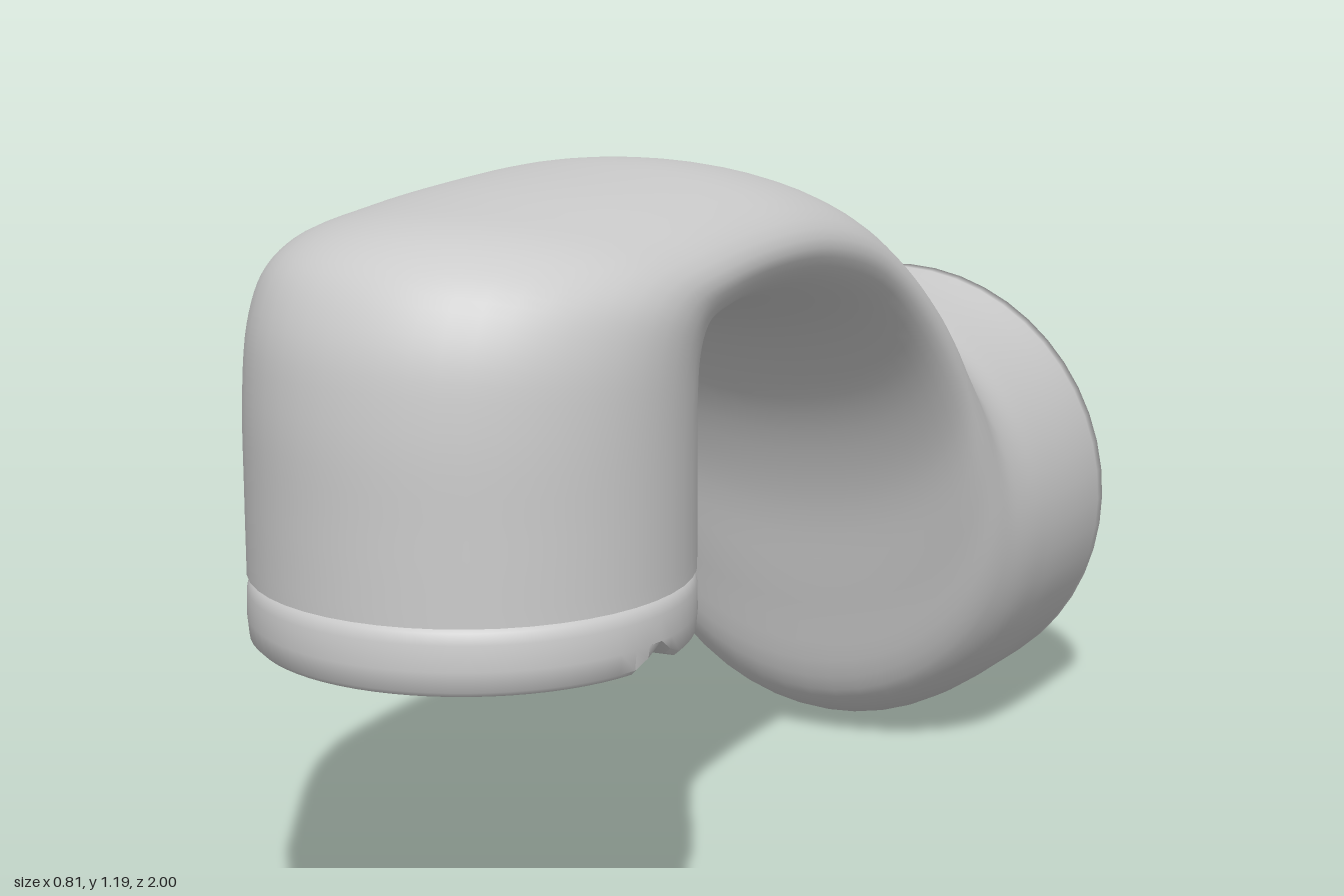
import * as THREE from 'three';
import { toCreasedNormals } from 'three/addons/utils/BufferGeometryUtils.js';

// Elliptical sections: [top z, top y, bottom z, bottom y, half width]
const SECTIONS = [
  [-0.98, 0.82, -0.98, 0.0, 0.405],
  [-0.86, 0.815, -0.86, 0.005, 0.407],
  [-0.72, 0.82, -0.72, 0.01, 0.405],
  [-0.62, 0.828, -0.62, 0.03, 0.4],
  [-0.55, 0.86, -0.55, 0.09, 0.39],
  [-0.45, 0.935, -0.5, 0.27, 0.377],
  [-0.34, 1.01, -0.445, 0.5, 0.362],
  [-0.2, 1.09, -0.35, 0.69, 0.345],
  [-0.05, 1.15, -0.19, 0.845, 0.335],
  [0.12, 1.182, 0.03, 0.93, 0.33],
  [0.32, 1.19, 0.22, 0.955, 0.33],
  [0.6, 1.187, 0.28, 0.952, 0.335],
  [0.82, 1.17, 0.3, 0.943, 0.34],
  [0.92, 1.125, 0.308, 0.93, 0.344],
  [0.975, 1.04, 0.31, 0.908, 0.345],
  [0.997, 0.92, 0.31, 0.86, 0.345],
  [1.0, 0.76, 0.31, 0.75, 0.345],
  [1.0, 0.63, 0.31, 0.63, 0.345],
];

// Curved body lofted through the sections, closed at the back
function bodyGeometry(rings = 85, sides = 48) {
  const top = new THREE.CatmullRomCurve3(SECTIONS.map(s => new THREE.Vector3(s[4], s[1], s[0])));
  const low = new THREE.CatmullRomCurve3(SECTIONS.map(s => new THREE.Vector3(0, s[3], s[2])));
  const pos = [], index = [];
  for (let i = 0; i <= rings; i++) {
    const t = top.getPoint(i / rings), b = low.getPoint(i / rings);
    for (let j = 0; j < sides; j++) {
      const a = (j / sides) * Math.PI * 2, k = (1 + Math.sin(a)) / 2;
      pos.push(Math.cos(a) * t.x, b.y + (t.y - b.y) * k, b.z + (t.z - b.z) * k);
    }
  }
  for (let i = 0; i < rings; i++) {
    for (let j = 0; j < sides; j++) {
      const n = (j + 1) % sides;
      const a = i * sides + j, b = i * sides + n, c = a + sides, d = b + sides;
      index.push(a, b, c, b, d, c);
    }
  }
  const centre = pos.length / 3;
  pos.push(0, 0.41, -0.98);
  for (let j = 0; j < sides; j++) index.push(centre, (j + 1) % sides, j);
  const geo = new THREE.BufferGeometry();
  geo.setAttribute('position', new THREE.Float32BufferAttribute(pos, 3));
  geo.setIndex(index);
  geo.computeVertexNormals();
  return geo;
}

// Round end cap with a small notch in its lower left rim
function capGeometry() {
  const profile = [[0, 0], [0.335, 0], [0.343, 0.008], [0.346, 0.04], [0.345, 0.08], [0.34, 0.097], [0.33, 0.105], [0, 0.105]];
  const geo = new THREE.LatheGeometry(profile.map(p => new THREE.Vector2(...p)), 72);
  const p = geo.attributes.position;
  for (let i = 0; i < p.count; i++) {
    if (p.getX(i) > 0.3 && p.getY(i) < 0.02) {
      p.setY(i, p.getY(i) + 0.03 * Math.max(0, 1 - Math.abs(p.getZ(i) - 0.03) / 0.05));
    }
  }
  return toCreasedNormals(geo, 0.7);
}

export function createModel() {
  const group = new THREE.Group();
  const material = new THREE.MeshStandardMaterial({ color: 0xcccccc, side: THREE.DoubleSide });
  const add = (name, geo, x, y, z) => {
    const mesh = new THREE.Mesh(geo, material);
    mesh.name = name;
    mesh.position.set(x, y, z);
    group.add(mesh);
    return mesh;
  };
  add('curvedBody', bodyGeometry(), 0, 0, 0);
  add('endCap', capGeometry(), 0, 0.525, 0.655);
  // Thin round plate on the back
  add('backPlate', new THREE.CylinderGeometry(0.215, 0.215, 0.03, 48), 0, 0.415, -0.985).rotation.x = Math.PI / 2;
  return group;
}
